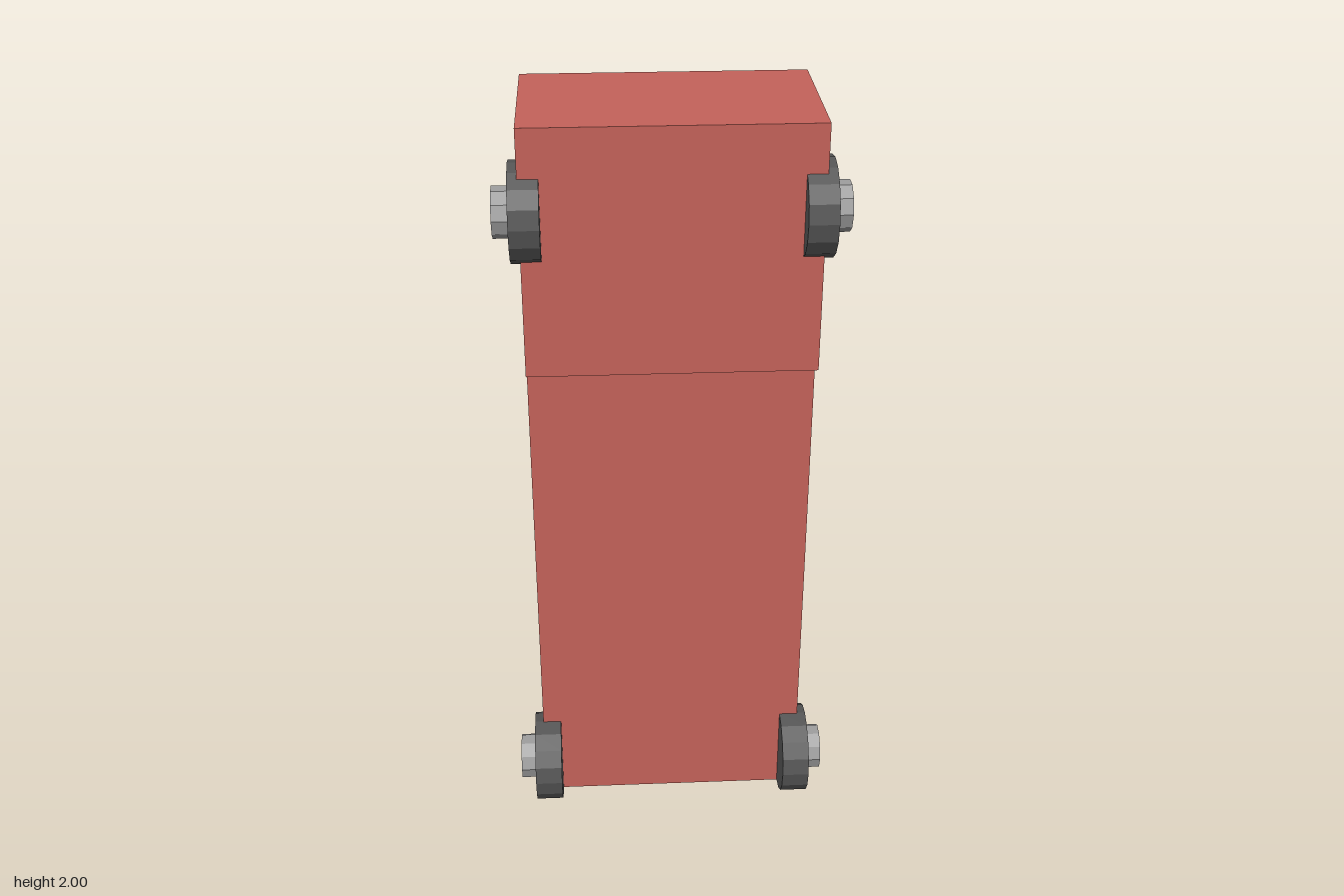
import * as THREE from 'three';

const bodyRed = new THREE.MeshStandardMaterial({ name: 'bodyRed', color: 0xc4625a });
const tyreGrey = new THREE.MeshStandardMaterial({ name: 'tyreGrey', color: 0x555555, flatShading: true });
const metalGrey = new THREE.MeshStandardMaterial({ name: 'metalGrey', color: 0x9f9f9f, flatShading: true });

function addMesh(parent, name, geometry, material, x = 0, y = 0, z = 0) {
  const mesh = new THREE.Mesh(geometry, material);
  mesh.name = name;
  mesh.position.set(x, y, z);
  parent.add(mesh);
  return mesh;
}

// Disc whose axis runs along x
function disc(radius, width, sides) {
  return new THREE.CylinderGeometry(radius, radius, width, sides).rotateZ(Math.PI / 2);
}

export function createModel() {
  const model = new THREE.Group();
  model.name = 'standingTruck';

  // Stepped body: side profile (z, y) extruded across x
  const profile = new THREE.Shape([
    [-0.3, 0], [0.3, 0], [0.3, 1.37], [0.36, 1.37],
    [0.36, 2], [-0.06, 2], [-0.06, 1.475], [-0.3, 1.475],
  ].map(([z, y]) => new THREE.Vector2(-z, y)));
  const body = new THREE.ExtrudeGeometry(profile, { depth: 0.72, bevelEnabled: false });
  body.translate(0, 0, -0.36).rotateY(Math.PI / 2);
  addMesh(model, 'body', body, bodyRed);

  // Long bar on the back
  addMesh(model, 'backBar', new THREE.BoxGeometry(0.24, 1.8, 0.118), metalGrey, 0, 0.95, -0.362);

  // Four wheels with protruding hubs
  for (const [end, y] of [['lower', 0.122], ['upper', 1.776]]) {
    for (const side of [-1, 1]) {
      const wheel = new THREE.Group();
      wheel.name = end + (side > 0 ? 'LeftWheel' : 'RightWheel');
      wheel.position.set(0, y, 0.298);
      addMesh(wheel, 'tyre', disc(0.122, 0.073, 16), tyreGrey, side * 0.3465);
      addMesh(wheel, 'hub', disc(0.062, 0.08, 10), metalGrey, side * 0.384);
      model.add(wheel);
    }
  }
  return model;
}
